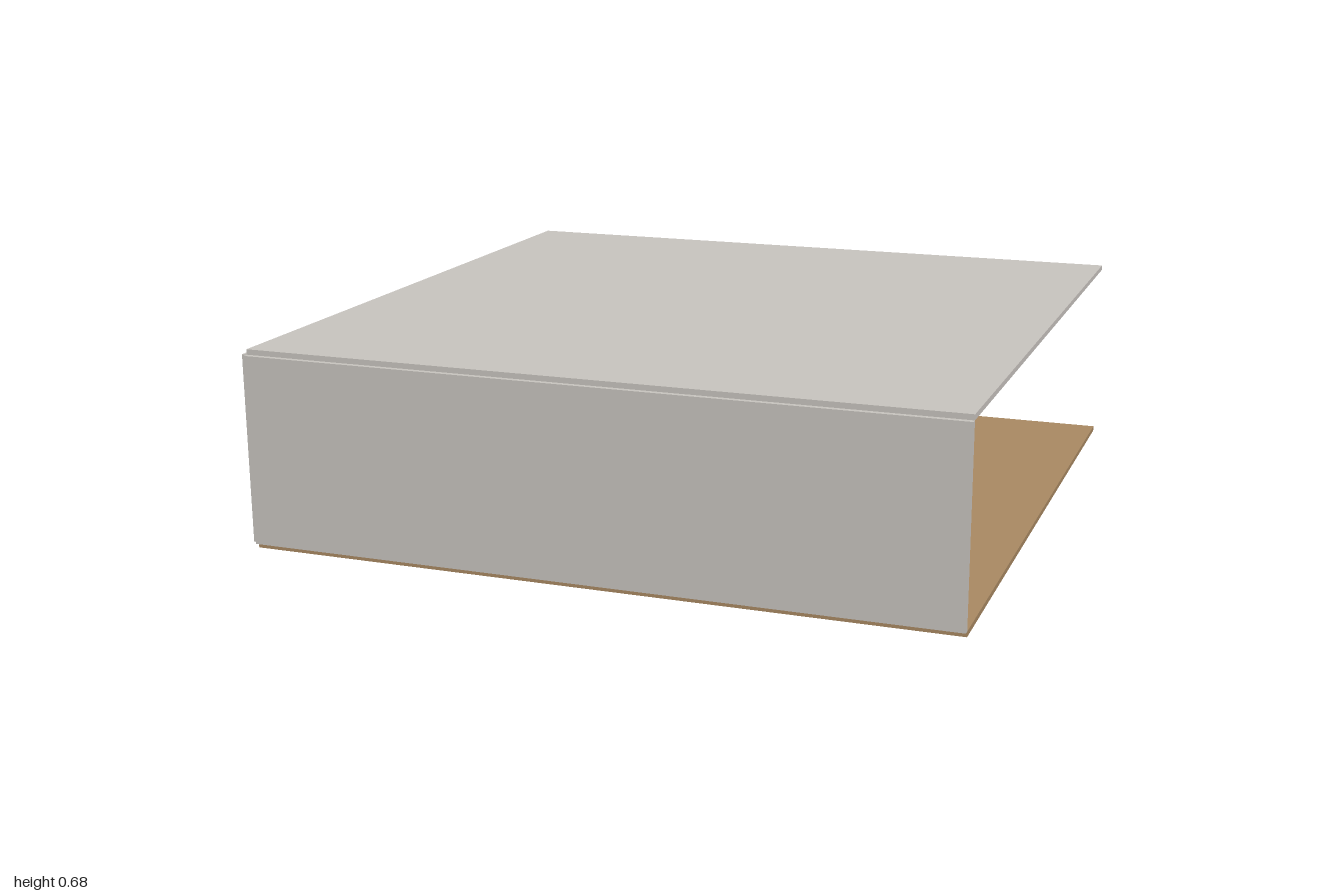
import * as THREE from 'three';

const material = (name, color, side = THREE.FrontSide) => {
  const m = new THREE.MeshStandardMaterial({ color, side });
  m.name = name;
  return m;
};

export function createModel() {
  const plaster = material('plaster', 0xc9c5c0);
  const floorWood = material('floor wood', 0xaa8a63);
  const slatWood = material('slat wood', 0xa97d48);
  const metal = material('window metal', 0x6a6a6a);
  const cloth = material('clothing', 0xb4b4b2);
  const skin = material('skin', 0xb98a50);

  const root = new THREE.Group();
  root.name = 'room';

  const add = (parent, name, geometry, mat, x = 0, y = 0, z = 0) => {
    const mesh = new THREE.Mesh(geometry, mat);
    mesh.name = name;
    mesh.position.set(x, y, z);
    parent.add(mesh);
    return mesh;
  };
  // Box given by its minimum and maximum corners
  const box = (parent, name, mat, [x0, y0, z0], [x1, y1, z1]) =>
    add(parent, name, new THREE.BoxGeometry(x1 - x0, y1 - y0, z1 - z0), mat,
      (x0 + x1) / 2, (y0 + y1) / 2, (z0 + z1) / 2);

  // Slabs and the solid front wall; the back and +x sides stay open
  box(root, 'floor', floorWood, [-0.985, 0.12, -0.99], [1, 0.135, 0.975]);
  box(root, 'roof', plaster, [-0.985, 0.667, -0.99], [1, 0.682, 0.975]);
  box(root, 'frontWall', plaster, [-0.985, 0.135, 0.975], [1, 0.667, 0.99]);

  // Side wall with a window opening, drawn as (z, y) and turned into place
  const win = { z0: -0.09, z1: 0.72, y0: 0.18, y1: 0.6 };
  const rect = (path, z0, y0, z1, y1) =>
    path.moveTo(z0, y0).lineTo(z1, y0).lineTo(z1, y1).lineTo(z0, y1).closePath();
  const wall = new THREE.Shape();
  rect(wall, -0.99, 0.135, 0.975, 0.667);
  const hole = new THREE.Path();
  rect(hole, win.z0, win.y0, win.z1, win.y1);
  wall.holes.push(hole);
  const wallGeometry = new THREE.ExtrudeGeometry(wall, { depth: 0.015, bevelEnabled: false });
  wallGeometry.rotateY(-Math.PI / 2);
  add(root, 'windowWall', wallGeometry, plaster, -0.985);

  // Window bars
  const bars = new THREE.Group();
  bars.name = 'windowFrame';
  root.add(bars);
  for (let i = 1; i < 4; i++) {
    const z = win.z0 + (win.z1 - win.z0) * i / 4;
    box(bars, 'mullion', metal, [-0.997, win.y0, z - 0.004], [-0.988, win.y1, z + 0.004]);
  }
  box(bars, 'transom', metal, [-0.996, 0.469, win.z0], [-0.989, 0.475, win.z1]);

  // Vertical wooden slats on the inside of the front wall
  const slats = new THREE.Group();
  slats.name = 'slatPanel';
  root.add(slats);
  const count = 20, pitch = 0.041;
  for (let i = 0; i < count; i++) {
    const x = -0.7 + i * pitch;
    box(slats, 'slat', slatWood, [x, 0.165, 0.965], [x + 0.032, 0.54, 0.975]);
  }

  // Standing figure facing the back, with its feet below the floor
  const figure = new THREE.Group();
  figure.name = 'figure';
  figure.position.set(-0.293, 0, 0.463);
  root.add(figure);
  const torsoProfile = [[0, 0.125], [0.02, 0.128], [0.022, 0.145], [0.017, 0.17],
    [0.022, 0.2], [0.019, 0.213], [0.007, 0.219], [0, 0.22]];
  const torso = new THREE.LatheGeometry(torsoProfile.map(([r, y]) => new THREE.Vector2(r, y)), 12);
  torso.scale(1.2, 1, 0.65);
  add(figure, 'torso', torso, cloth);
  add(figure, 'neck', new THREE.CylinderGeometry(0.006, 0.006, 0.02, 8), skin, 0, 0.224, 0);
  const head = new THREE.SphereGeometry(0.015, 12, 8);
  head.scale(0.9, 1.2, 1);
  add(figure, 'head', head, skin, 0, 0.242, 0);
  for (const side of [-1, 1]) {
    const x = side * 0.017;
    add(figure, 'leg', new THREE.CylinderGeometry(0.011, 0.006, 0.13, 8), cloth, x, 0.073, 0);
    box(figure, 'foot', cloth, [x - 0.006, 0, -0.026], [x + 0.006, 0.01, 0.008]);
    const arm = add(figure, 'arm', new THREE.CylinderGeometry(0.007, 0.005, 0.075, 8), cloth,
      side * 0.031, 0.172, 0);
    arm.rotation.z = side * 0.1;
    add(figure, 'hand', new THREE.SphereGeometry(0.006, 8, 6), skin, side * 0.035, 0.131, 0);
  }
  return root;
}
